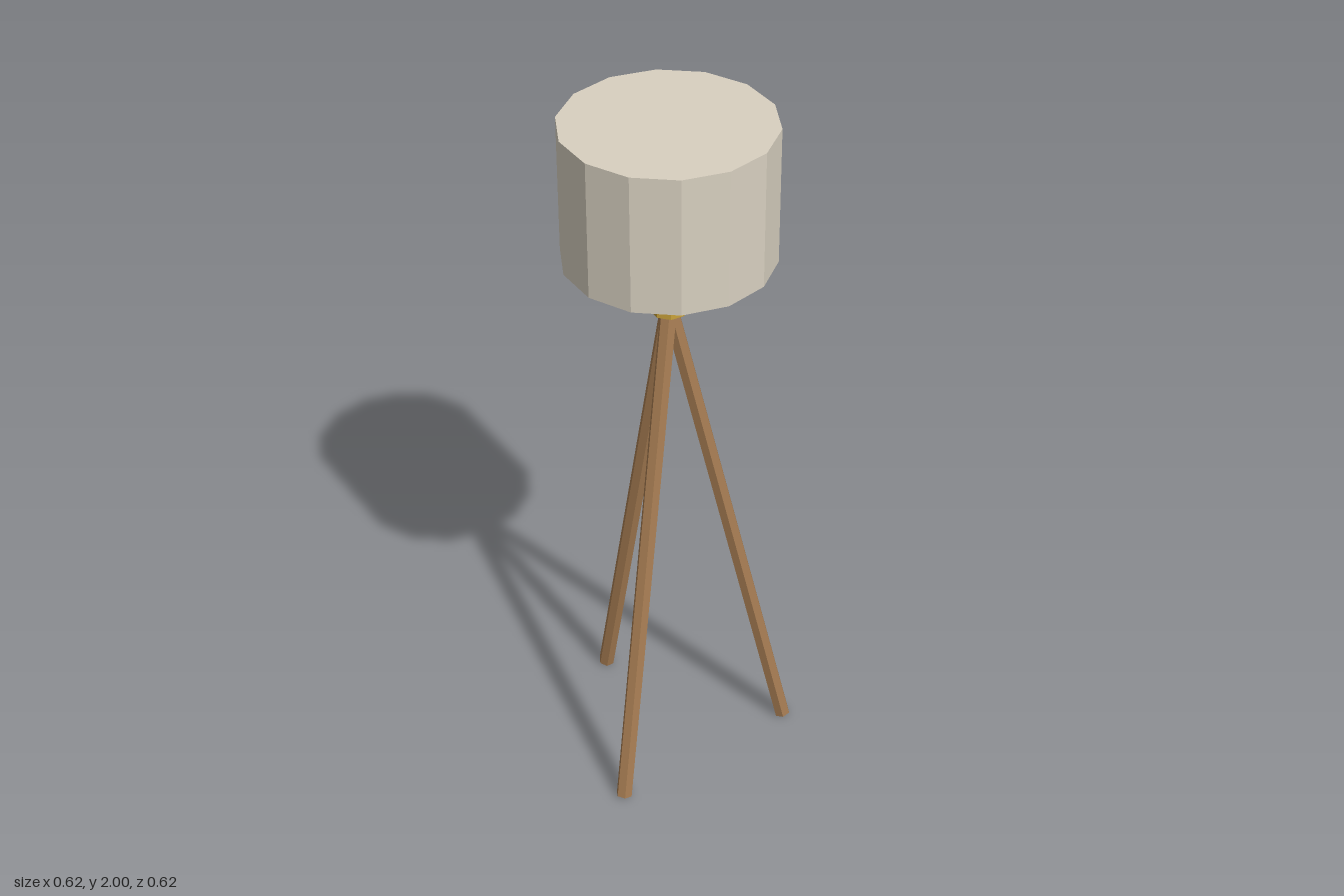
import * as THREE from 'three';

const material = (name, color) => {
  const m = new THREE.MeshStandardMaterial({ color, flatShading: true });
  m.name = name;
  return m;
};

export function createModel() {
  const linen = material('linen', 0xd8d0c0);
  const brass = material('brass', 0xc9a23a);
  const wood = material('wood', 0xa67c52);

  const lamp = new THREE.Group();
  lamp.name = 'tripodFloorLamp';
  // The tripod's axis sits off centre because one foot points to +x
  lamp.position.x = -0.039;

  // Upright faceted cylinder between two heights
  const drum = (name, radius, y0, y1, sides, mat) => {
    const mesh = new THREE.Mesh(new THREE.CylinderGeometry(radius, radius, y1 - y0, sides), mat);
    mesh.name = name;
    mesh.position.y = (y0 + y1) / 2;
    lamp.add(mesh);
  };

  drum('shade', 0.28, 1.62, 2, 14, linen);
  drum('stem', 0.021, 1.46, 1.63, 8, brass);
  drum('collar', 0.05, 1.455, 1.505, 8, brass);

  // Three hexagonal legs splayed from the collar
  const top = new THREE.Vector3(0, 1.47, 0);
  const foot = new THREE.Vector3(0.331, 0.005, 0);
  const length = top.distanceTo(foot);
  const tilt = Math.atan2(foot.x, top.y - foot.y);
  for (let i = 0; i < 3; i++) {
    const leg = new THREE.Group();
    leg.name = 'leg' + (i + 1);
    leg.rotation.y = (i * Math.PI * 2) / 3;
    const rod = new THREE.Mesh(new THREE.CylinderGeometry(0.023, 0.023, length, 6), wood);
    rod.name = 'legRod';
    rod.position.copy(top).add(foot).multiplyScalar(0.5);
    rod.rotation.z = tilt;
    leg.add(rod);
    lamp.add(leg);
  }

  const model = new THREE.Group();
  model.name = 'floorLamp';
  model.add(lamp);
  return model;
}
